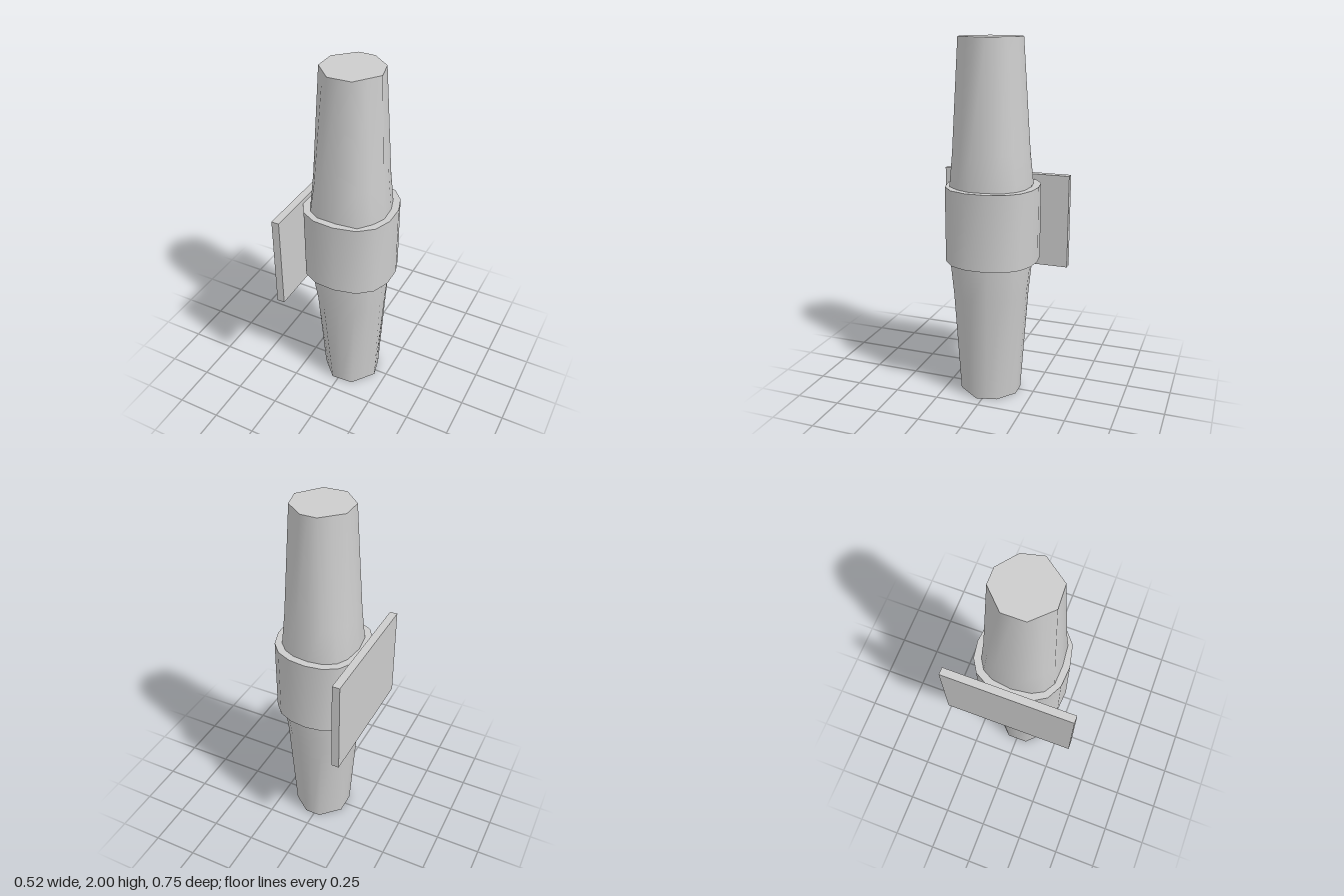
import * as THREE from 'three';
import { toCreasedNormals } from 'three/addons/utils/BufferGeometryUtils.js';

// Closed solid through a stack of [height, outline] sections; outlines are [x, z] lists
function loft(sections) {
  const pos = [];
  const put = (...corners) => corners.forEach((c) => pos.push(...c));
  const rings = sections.map(([y, outline]) => outline.map(([x, z]) => [x, y, z]));
  const n = rings[0].length;
  const middle = (ring) => [0, 1, 2].map((k) => ring.reduce((sum, p) => sum + p[k], 0) / n);
  const low = rings[0], high = rings[rings.length - 1];
  for (let i = 0; i < n; i++) {
    const j = (i + 1) % n;
    for (let s = 0; s < rings.length - 1; s++) {
      const a = rings[s], b = rings[s + 1];
      put(a[j], a[i], b[i], a[j], b[i], b[j]);
    }
    put(middle(low), low[i], low[j]);
    put(middle(high), high[j], high[i]);
  }
  const geometry = new THREE.BufferGeometry();
  geometry.setAttribute('position', new THREE.Float32BufferAttribute(pos, 3));
  return toCreasedNormals(geometry, 0.9);
}

// Outline between two others
const blend = (a, b, t) => a.map(([x, z], i) => [x + (b[i][0] - x) * t, z + (b[i][1] - z) * t]);

export function createModel() {
  const group = new THREE.Group();
  group.name = 'wallLight';
  const grey = new THREE.MeshStandardMaterial({ color: 0xcccccc });
  grey.name = 'light grey';

  const add = (name, geometry) => {
    const mesh = new THREE.Mesh(geometry, grey);
    mesh.name = name;
    group.add(mesh);
    return mesh;
  };

  // Tapered shade: eight-sided ends swelling to sixteen sides at the collar
  const corners = [
    [-0.035, -0.16], [0.055, -0.16], [0.157, -0.08], [0.185, 0.033],
    [0.09, 0.16], [-0.037, 0.167], [-0.138, 0.065], [-0.138, -0.058],
  ];
  const end = corners.flatMap((p, i) => {
    const q = corners[(i + 1) % corners.length];
    return [p, [(p[0] + q[0]) / 2, (p[1] + q[1]) / 2]];
  });
  const waist = [
    [-0.09, -0.207], [-0.005, -0.22], [0.085, -0.21], [0.145, -0.183],
    [0.193, -0.133], [0.222, -0.045], [0.228, 0.053], [0.195, 0.13],
    [0.14, 0.197], [0.02, 0.21], [-0.09, 0.205], [-0.15, 0.17],
    [-0.183, 0.11], [-0.198, 0], [-0.183, -0.11], [-0.15, -0.17],
  ];
  const neck = blend(end, waist, 0.67);
  add('shade', loft([[0, end], [0.6, neck], [0.79, waist], [1.21, waist], [1.4, neck], [2, end]]));

  // Collar around the middle, flat where it meets the wall plate
  const collar = [
    [-0.22, -0.125], [-0.178, -0.2], [-0.105, -0.245], [-0.008, -0.26],
    [0.088, -0.25], [0.17, -0.215], [0.228, -0.15], [0.26, -0.055],
    [0.262, 0.06], [0.226, 0.155], [0.148, 0.22], [0.025, 0.248],
    [-0.092, 0.24], [-0.175, 0.197], [-0.22, 0.125],
  ];
  add('collar', loft([[0.795, collar], [1.215, collar]]));

  // Wall plate
  add('wallPlate', new THREE.BoxGeometry(0.043, 0.535, 0.746)).position.set(-0.241, 0.971, -0.001);

  return group;
}
